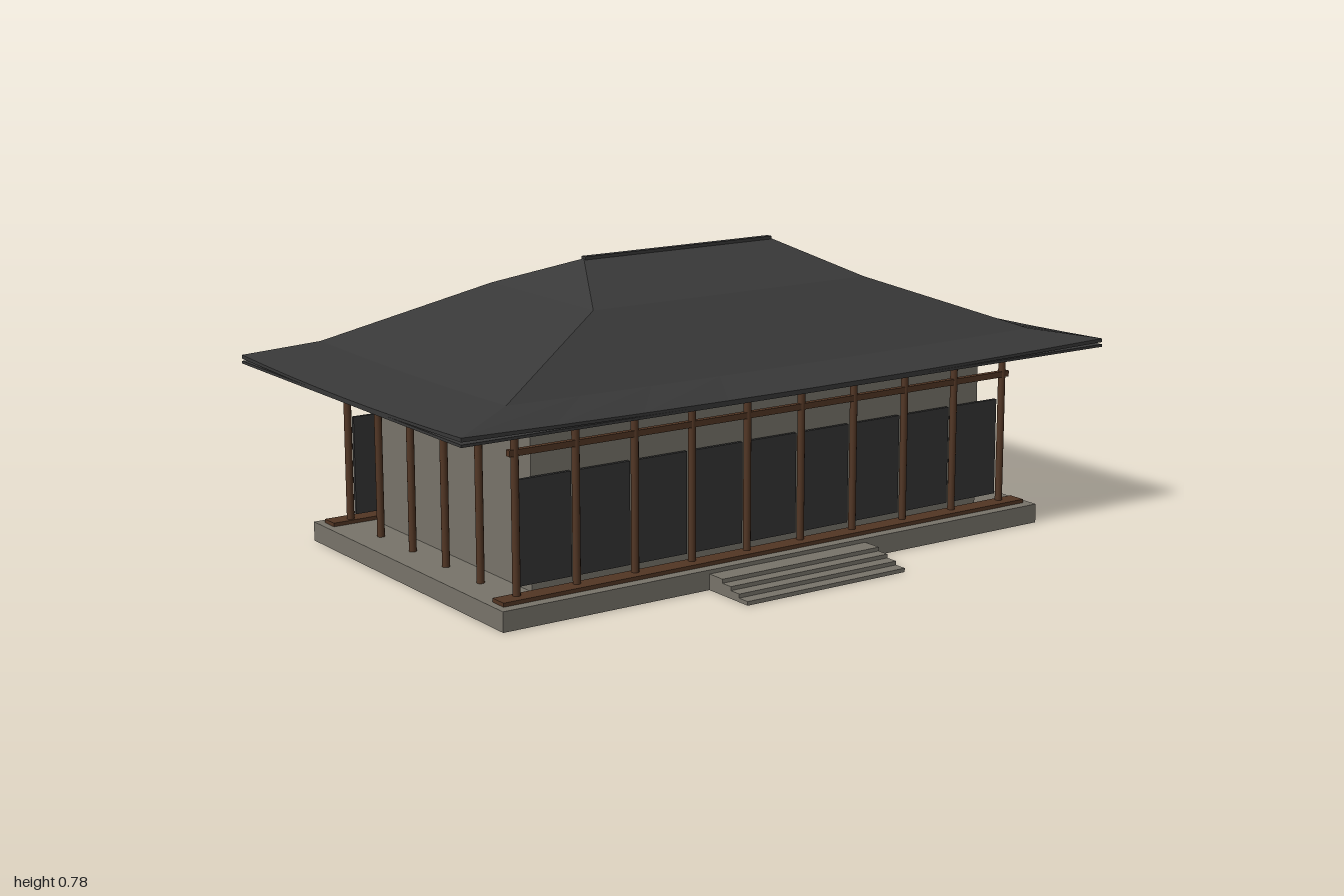
import * as THREE from 'three';

export function createModel() {
  const model = new THREE.Group();
  const paint = (name, color, side = THREE.FrontSide) => {
    const m = new THREE.MeshStandardMaterial({ color, side });
    m.name = name;
    return m;
  };
  const stone = paint('grey stone', 0x78746a);
  const wood = paint('brown wood', 0x523624);
  const slate = paint('dark tile', 0x383838, THREE.DoubleSide);
  const lattice = paint('dark lattice', 0x353535);
  const CZ = -0.04; // centre line of the hall in z

  const add = (name, geometry, material, x, y, z) => {
    const mesh = new THREE.Mesh(geometry, material);
    mesh.name = name;
    mesh.position.set(x, y, z);
    model.add(mesh);
    return mesh;
  };
  // box given by its bounds
  const box = (name, material, x0, x1, y0, y1, z0, z1) =>
    add(name, new THREE.BoxGeometry(x1 - x0, y1 - y0, z1 - z0), material,
      (x0 + x1) / 2, (y0 + y1) / 2, (z0 + z1) / 2);

  // platform and front steps
  box('platform', stone, -0.85, 0.85, 0, 0.052, -0.525, 0.45);
  [0.61, 0.575, 0.54, 0.505].forEach((z, i) =>
    box('step', stone, -0.25, 0.25, i * 0.0104, (i + 1) * 0.0104, 0.45, z));

  // hall walls
  box('walls', stone, -0.71, 0.71, 0.052, 0.487, -0.432, 0.355);

  const columnGeometry = new THREE.CylinderGeometry(0.01, 0.01, 0.435, 12);
  const column = (x, z) => add('column', columnGeometry, wood, x, 0.2695, z);

  // front and back colonnades with sills, rails, caps and lattice panels
  const bay = 0.1715;
  for (const side of [1, -1]) {
    const z = CZ + side * 0.424;
    const zs = CZ + side * 0.434;
    const zp = CZ + side * 0.407;
    box('sill', wood, -0.83, 0.83, 0.052, 0.062, zs - 0.026, zs + 0.026);
    box('rail', wood, -0.79, 0.79, 0.407, 0.423, z - 0.008, z + 0.008);
    for (let i = 0; i < 10; i++) {
      const x = (i - 4.5) * bay;
      column(x, z);
      box('columnCap', wood, x - 0.026, x + 0.026, 0.481, 0.489, zs - 0.026, zs + 0.026);
      if (i < 9) box('latticePanel', lattice, x + 0.006, x + bay - 0.006, 0.078, 0.343, zp - 0.005, zp + 0.005);
    }
  }

  // columns along the two ends
  for (const x of [-0.7718, 0.7718])
    for (let i = 0; i < 4; i++) column(x, CZ + (i - 1.5) * 0.17);

  // roof shell: rectangular rings from eave to ridge, eaves lifting at the corners
  // [half width, half depth, height, drop at mid side]
  const rings = [
    [1, 0.57, 0.5, 0.007],
    [1, 0.57, 0.51, 0.011],
    [0.82, 0.47, 0.543, 0.006],
    [0.43, 0.245, 0.692, 0],
    [0.3, 0.002, 0.776, 0],
  ];
  const corners = [[1, 1], [1, -1], [-1, -1], [-1, 1]];
  const SEG = 8;
  const ringPoint = ([hx, hz, y, drop], k) => {
    const a = corners[Math.floor(k / SEG) % 4];
    const b = corners[(Math.floor(k / SEG) + 1) % 4];
    const t = (k % SEG) / SEG;
    const u = 2 * t - 1;
    return [hx * (a[0] + (b[0] - a[0]) * t), y - drop * (1 - u * u), hz * (a[1] + (b[1] - a[1]) * t)];
  };
  const positions = [];
  for (let r = 0; r < rings.length - 1; r++) {
    for (let k = 0; k < 4 * SEG; k++) {
      const a = ringPoint(rings[r], k), b = ringPoint(rings[r], k + 1);
      const c = ringPoint(rings[r + 1], k + 1), d = ringPoint(rings[r + 1], k);
      positions.push(...a, ...b, ...c, ...a, ...c, ...d);
    }
  }
  const roof = new THREE.BufferGeometry();
  roof.setAttribute('position', new THREE.Float32BufferAttribute(positions, 3));
  roof.computeVertexNormals();
  add('roof', roof, slate, 0, 0, CZ);

  // ridge cap and flat soffit under the eaves
  box('ridge', slate, -0.3, 0.3, 0.768, 0.782, CZ - 0.009, CZ + 0.009);
  box('soffit', slate, -1, 1, 0.487, 0.494, CZ - 0.57, CZ + 0.57);

  return model;
}
